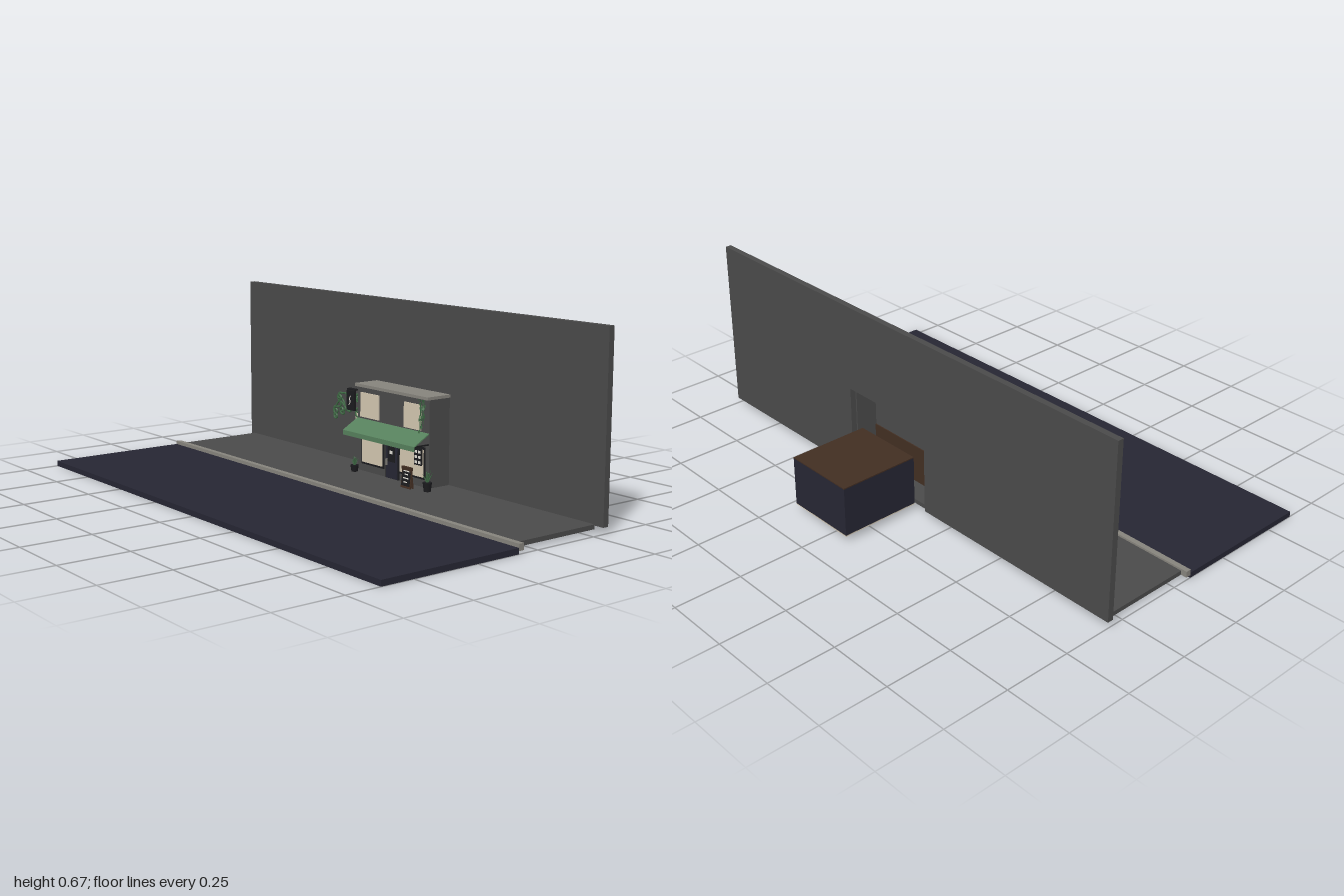
import * as THREE from 'three';

const mat = (name, color, side = THREE.FrontSide) => {
  const m = new THREE.MeshStandardMaterial({ color, side });
  m.name = name;
  return m;
};

export function createModel() {
  const root = new THREE.Group();
  root.name = 'streetShop';
  const grey = mat('concrete grey', 0x4a4a4a);
  const trim = mat('pale stone', 0x86837c);
  const navy = mat('dark navy', 0x262633);
  const brown = mat('dark wood', 0x422e22);
  const beige = mat('warm beige', 0xd2c6b0);
  const green = mat('awning green', 0x56805c);
  const leaf = mat('leaf green', 0x3f6b45, THREE.DoubleSide);
  const black = mat('black', 0x1b1b1e);
  const white = mat('chalk white', 0xe2dfd6);

  const add = (name, geo, material, parent = root) => {
    const m = new THREE.Mesh(geo, material);
    m.name = name;
    parent.add(m);
    return m;
  };
  // Box given by its limits on each axis
  const box = (name, material, x0, x1, y0, y1, z0, z1, parent = root) => {
    const m = add(name, new THREE.BoxGeometry(x1 - x0, y1 - y0, z1 - z0), material, parent);
    m.position.set((x0 + x1) / 2, (y0 + y1) / 2, (z0 + z1) / 2);
    return m;
  };
  const tube = (name, pts, r, material, parent = root, seg = 24) => add(name,
    new THREE.TubeGeometry(new THREE.CatmullRomCurve3(pts.map(p => new THREE.Vector3(...p))), seg, r, 5), material, parent);

  // Street
  box('road', navy, -1, 1, 0, 0.02, 0.08, 0.622);
  box('curb', trim, -1, 1, 0.01, 0.033, 0.06, 0.08);
  box('sidewalk', grey, -0.977, 0.963, 0.01, 0.026, -0.295, 0.06);

  // Tall wall with the opening behind the shop
  box('wallLeftPart', grey, 0.26, 1, 0.022, 0.672, -0.318, -0.295);
  box('wallRightPart', grey, -1, -0.137, 0.022, 0.672, -0.318, -0.295);
  box('wallTopPart', grey, -0.137, 0.26, 0.35, 0.672, -0.318, -0.295);

  // Back room
  const room = new THREE.Group();
  room.name = 'backRoom';
  root.add(room);
  for (const x of [-0.08, 0.195]) box('roomSide', navy, x, x + 0.005, 0.028, 0.211, -0.622, -0.316, room);
  box('roomBack', navy, -0.08, 0.2, 0.028, 0.211, -0.622, -0.617, room);
  box('roomRoof', brown, -0.08, 0.2, 0.211, 0.215, -0.622, -0.316, room);
  box('roomFloor', beige, -0.08, 0.2, 0.024, 0.028, -0.622, -0.316, room);

  // Shop shell, open at the back
  const shop = new THREE.Group();
  shop.name = 'shop';
  root.add(shop);
  box('facade', grey, -0.147, 0.262, 0.024, 0.346, -0.21, -0.2, shop);
  for (const x of [-0.147, 0.254]) box('shopSide', grey, x, x + 0.008, 0.024, 0.346, -0.296, -0.21, shop);
  box('shopRoof', trim, -0.15, 0.265, 0.346, 0.357, -0.296, -0.188, shop);
  box('innerLining', brown, -0.139, 0.254, 0.026, 0.17, -0.214, -0.21, shop);

  // Windows and door as thin plates
  box('upperWindow', beige, -0.127, -0.019, 0.232, 0.325, -0.2, -0.196, shop);
  box('upperWindow', beige, 0.125, 0.218, 0.23, 0.323, -0.2, -0.196, shop);
  for (const [x0, x1] of [[-0.115, 0.007], [0.105, 0.238]]) {
    box('windowFrame', black, x0 - 0.005, x1 + 0.005, 0.054, 0.172, -0.2, -0.197, shop);
    box('shopWindow', beige, x0 + 0.002, x1 - 0.002, 0.062, 0.163, -0.197, -0.194, shop);
  }
  box('doorFrame', black, 0.022, 0.1, 0.026, 0.172, -0.2, -0.197, shop);
  box('door', navy, 0.03, 0.092, 0.028, 0.166, -0.197, -0.193, shop);
  box('doorPane', black, 0.04, 0.082, 0.09, 0.155, -0.193, -0.191, shop);
  box('doorNotice', white, 0.052, 0.07, 0.12, 0.132, -0.191, -0.19, shop);
  box('doorHandle', trim, 0.036, 0.039, 0.075, 0.1, -0.193, -0.186, shop);
  box('wallWindow', beige, -0.275, -0.183, 0.125, 0.217, -0.295, -0.291);

  // Small notices on the left window
  box('noticeBoard', black, 0.19, 0.232, 0.104, 0.166, -0.194, -0.191, shop);
  for (let i = 0; i < 6; i++) {
    const x = 0.195 + (i % 2) * 0.019, y = 0.11 + Math.floor(i / 2) * 0.019;
    box('notice', white, x, x + 0.012, y, y + 0.01, -0.191, -0.19, shop);
  }

  // Awning with valance and arms
  const awning = new THREE.Group();
  awning.name = 'awning';
  root.add(awning);
  const run = 0.07, drop = 0.04;
  const slope = add('awningCloth', new THREE.BoxGeometry(0.408, 0.004, Math.hypot(run, drop)), green, awning);
  slope.position.set(0.057, 0.204, -0.165);
  slope.rotation.x = Math.atan2(drop, run);
  box('valance', green, -0.147, 0.261, 0.168, 0.186, -0.132, -0.129, awning);
  for (const x of [-0.144, 0.258]) box('awningArm', black, x - 0.002, x + 0.002, 0.182, 0.187, -0.2, -0.132, awning);
  box('awningBar', black, -0.144, 0.258, 0.183, 0.187, -0.136, -0.132, awning);

  // Hanging shop sign on a bracket, with a plain curved mark
  const sign = new THREE.Group();
  sign.name = 'hangingSign';
  root.add(sign);
  box('signPanel', black, -0.196, -0.151, 0.25, 0.325, -0.194, -0.184, sign);
  box('signBracket', black, -0.196, -0.147, 0.327, 0.332, -0.204, -0.186, sign);
  tube('signMark', [[-0.167, 0.307, -0.183], [-0.176, 0.295, -0.183], [-0.172, 0.283, -0.183], [-0.18, 0.27, -0.183]], 0.002, white, sign);

  // Sandwich board: two leaning panels
  const board = new THREE.Group();
  board.name = 'sandwichBoard';
  board.position.set(0.205, 0.026, -0.147);
  root.add(board);
  for (const s of [1, -1]) {
    const half = new THREE.Group();
    half.name = 'boardHalf';
    half.position.z = s * 0.007;
    half.rotation.set(-s * 0.13, 0, 0);
    board.add(half);
    box('boardFrame', brown, -0.026, 0.026, 0, 0.078, -0.002, 0.002, half);
    const z0 = s > 0 ? 0.002 : -0.004;
    box('boardFace', black, -0.022, 0.022, 0.008, 0.074, z0, z0 + 0.002, half);
    if (s > 0) [0.02, 0.034, 0.048, 0.06].forEach((y, i) => {
      const w = 0.009 + (i % 2) * 0.006;
      box('chalkLine', white, -w, w, y, y + 0.004, 0.004, 0.005, half);
    });
  }

  // Potted plants with bent blades
  const blade = new THREE.ConeGeometry(0.004, 1, 4);
  blade.translate(0, 0.5, 0);
  const pot = (x, z, h, r) => {
    const g = new THREE.Group();
    g.name = 'pottedPlant';
    g.position.set(x, 0.026, z);
    root.add(g);
    const p = add('pot', new THREE.CylinderGeometry(r, r * 0.75, h * 0.4, 12), black, g);
    p.position.y = h * 0.2;
    for (let i = 0; i < 11; i++) {
      const b = add('blade', blade, leaf, g);
      b.position.y = h * 0.38;
      b.scale.y = h * (0.45 + 0.15 * (i % 3) / 2);
      b.rotation.set(0, i * 2.4, 0.12 + 0.13 * (i % 4), 'YXZ');
    }
  };
  pot(0.29, -0.168, 0.082, 0.017);
  pot(-0.125, -0.168, 0.062, 0.016);

  // Leafy trailing plant at the top corner
  const trail = new THREE.Group();
  trail.name = 'trailingPlant';
  root.add(trail);
  const leafGeo = new THREE.CircleGeometry(0.007, 5);
  for (let k = 0; k < 3; k++) {
    const x = 0.228 + k * 0.009, low = 0.23 + k * 0.018;
    tube('stem', [[x, 0.345, -0.187], [x + 0.004, 0.3, -0.183], [x - 0.002, low, -0.186]], 0.0015, leaf, trail, 8);
    for (let i = 0; i < 9; i++) {
      const l = add('leaf', leafGeo, leaf, trail);
      l.position.set(x + 0.005 * Math.sin(i * 2.1 + k), low + (0.342 - low) * i / 8, -0.184 + 0.004 * Math.cos(i * 1.7));
      l.rotation.set(0.5 * Math.sin(i), 0.9 * Math.cos(i * 2 + k), 0);
      l.scale.x = 0.65;
    }
  }

  // Curling tendrils on the wall: a wavy stem ending in a spiral
  const vines = new THREE.Group();
  vines.name = 'wallVines';
  root.add(vines);
  const tendril = (x0, y0, x1, y1, r, dir) => {
    const pts = [];
    const nx = y0 - y1, ny = x1 - x0;
    for (let i = 0; i < 5; i++) {
      const t = i / 5, w = 0.18 * Math.sin(t * Math.PI * 2);
      pts.push([x0 + (x1 - x0) * t + nx * w, y0 + (y1 - y0) * t + ny * w, -0.291]);
    }
    const a0 = Math.atan2(y1 - y0, x1 - x0) - dir * Math.PI / 2;
    const cx = x1 - r * Math.cos(a0), cy = y1 - r * Math.sin(a0);
    for (let i = 0; i < 13; i++) {
      const a = a0 + dir * i * 0.6, q = r * (1 - i / 16);
      pts.push([cx + q * Math.cos(a), cy + q * Math.sin(a), -0.291 + i * 0.0003]);
    }
    tube('tendril', pts, 0.0038, leaf, vines, 56);
  };
  [
    [-0.29, 0.235, -0.36, 0.28, 0.018, 1], [-0.29, 0.235, -0.4, 0.225, 0.018, 1],
    [-0.3, 0.235, -0.35, 0.2, 0.016, -1], [-0.31, 0.24, -0.33, 0.27, 0.015, -1],
    [-0.37, 0.25, -0.41, 0.195, 0.014, 1], [-0.31, 0.225, -0.38, 0.25, 0.014, -1],
    [-0.2, 0.22, -0.25, 0.235, 0.022, 1], [-0.2, 0.225, -0.25, 0.285, 0.014, 1],
    [-0.29, 0.235, -0.22, 0.28, 0.014, -1],
    [-0.15, 0.13, -0.2, 0.115, 0.014, 1], [-0.15, 0.125, -0.175, 0.1, 0.012, -1],
  ].forEach(t => tendril(...t));

  return root;
}
